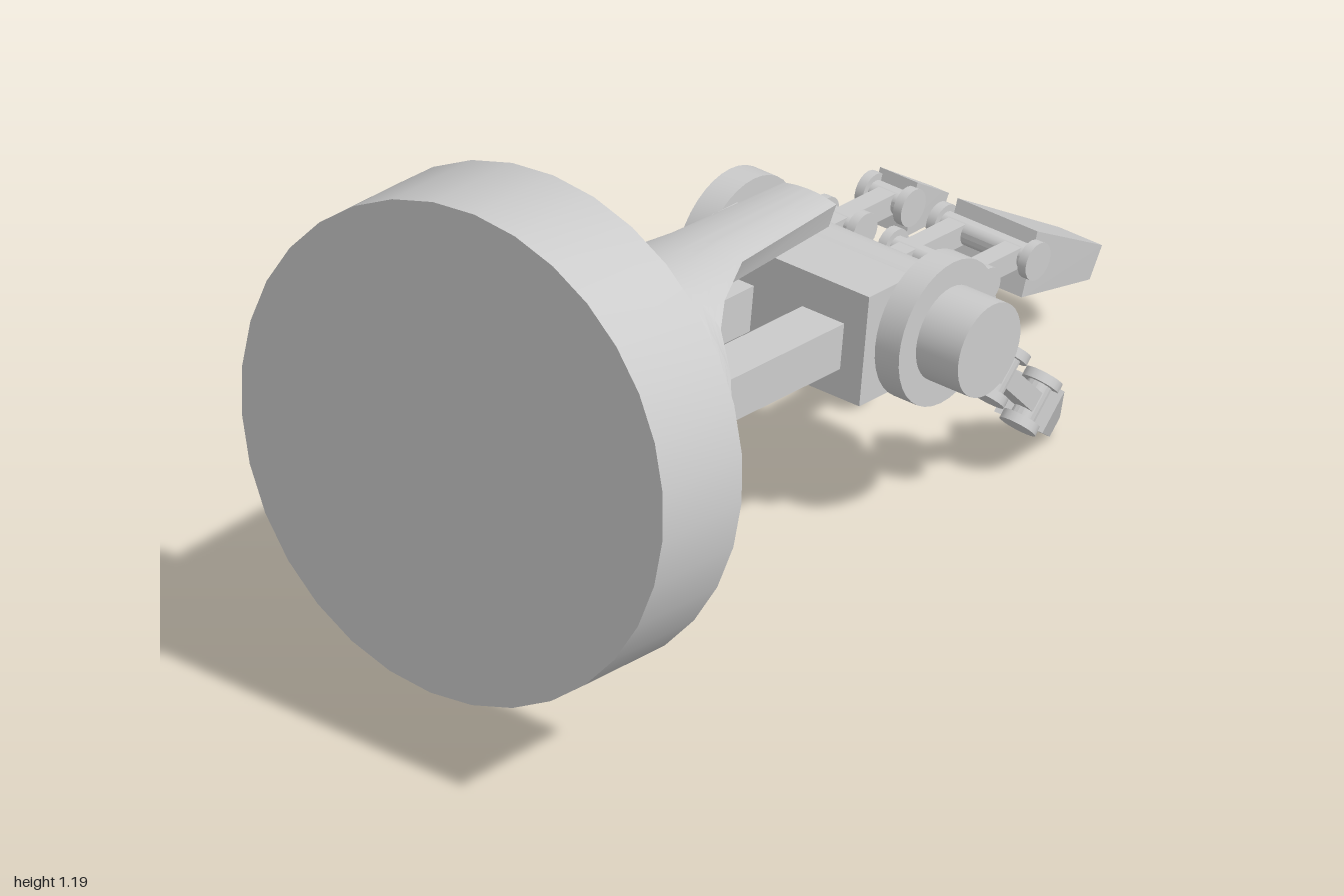
import * as THREE from 'three';
import { toCreasedNormals } from 'three/addons/utils/BufferGeometryUtils.js';

const grey = new THREE.MeshStandardMaterial({ color: 0xcccccc });

function add(parent, name, geometry, x = 0, y = 0, z = 0) {
  const mesh = new THREE.Mesh(toCreasedNormals(geometry, 0.6), grey);
  mesh.name = name;
  mesh.position.set(x, y, z);
  parent.add(mesh);
  return mesh;
}

// Half-pipe guard that narrows to a tongue; stations are [x, half width]
function sleeveGeometry() {
  const outer = 0.27, inner = 0.215, centreY = -0.07, n = 18;
  const stations = [[-0.02, 0.26], [0.31, 0.26], [0.33, 0.235], [0.36, 0.18],
    [0.42, 0.14], [0.54, 0.088], [0.87, 0.066]];
  const pos = [], index = [], ring = 2 * n + 2;
  for (const [x, w] of stations) {
    const a = Math.asin(w / outer);
    for (let k = 0; k < ring; k++) {
      const j = k <= n ? k : ring - 1 - k;
      const r = k <= n ? outer : inner;
      const t = a * (2 * j / n - 1);
      pos.push(x, centreY + r * Math.cos(t), r * Math.sin(t));
    }
  }
  for (let i = 0; i < stations.length - 1; i++) {
    for (let k = 0; k < ring; k++) {
      const a = i * ring + k, c = i * ring + (k + 1) % ring;
      index.push(a, c, a + ring, c, c + ring, a + ring);
    }
  }
  const last = (stations.length - 1) * ring;
  for (let j = 0; j < n; j++) {
    const o = last + j, q = last + ring - 1 - j;
    index.push(o, o + 1, q, o + 1, q - 1, q);
  }
  const g = new THREE.BufferGeometry();
  g.setAttribute('position', new THREE.Float32BufferAttribute(pos, 3));
  g.setIndex(index);
  return g;
}

// Box tapered towards its +x end; base and tip are [bottom, top, half width]
function clawGeometry(length, base, tip) {
  const g = new THREE.BoxGeometry(1, 1, 1);
  const p = g.attributes.position;
  for (let i = 0; i < p.count; i++) {
    const front = p.getX(i) > 0;
    const [bottom, top, half] = front ? tip : base;
    const y = p.getY(i) > 0 ? top : bottom;
    const x = front ? length : (y < 0 ? 0.028 : 0);
    p.setXYZ(i, x, y, Math.sign(p.getZ(i)) * half);
  }
  return g;
}

// Finger pointing along +x, hinged about z, with two pinned joints and a claw
function finger(name, { start, joints, pinHalf, links, length, base, tip, curl }) {
  const g = new THREE.Group();
  g.name = name;
  for (const z of links) {
    const len = joints[1] - start;
    add(g, 'fingerLink', new THREE.BoxGeometry(len, 0.045, 0.042), start + len / 2, 0, z);
  }
  for (const x of joints) {
    const pin = new THREE.CylinderGeometry(0.026, 0.026, pinHalf * 2, 16).rotateX(Math.PI / 2);
    add(g, 'jointPin', pin, x);
    for (const s of [-1, 1]) {
      const cap = new THREE.CylinderGeometry(0.04, 0.04, 0.02, 20).rotateX(Math.PI / 2);
      add(g, 'jointCap', cap, x, 0, s * (pinHalf - 0.01));
    }
  }
  add(g, 'claw', clawGeometry(length, base, tip), joints[1]).rotation.z = -curl;
  return g;
}

export function createModel() {
  const model = new THREE.Group();
  model.name = 'roboticArm';

  // Arm frame: x runs along the arm, origin at the front of the base disk
  const arm = new THREE.Group();
  arm.name = 'arm';
  const ax = new THREE.Vector3(0.979, -0.176, -0.103).normalize();
  const ay = new THREE.Vector3(0.171, 0.983, -0.053);
  const az = new THREE.Vector3().crossVectors(ax, ay).normalize();
  ay.crossVectors(az, ax);
  arm.quaternion.setFromRotationMatrix(new THREE.Matrix4().makeBasis(ax, ay, az));
  arm.position.set(-0.645, 0.637, -0.014);
  model.add(arm);

  add(arm, 'baseDisk', new THREE.CylinderGeometry(0.526, 0.526, 0.255, 32).rotateZ(Math.PI / 2), -0.1275);
  add(arm, 'forearmSleeve', sleeveGeometry());

  // Twin beams carrying the hand
  for (const s of [-1, 1]) {
    add(arm, 'forearmBeam', new THREE.BoxGeometry(0.86, 0.1, 0.105), 0.41, -0.058, s * 0.113);
  }

  // Hand: housing block, flanged drum with hollow far end and thumb motor
  const hand = new THREE.Group();
  hand.name = 'hand';
  hand.position.set(0.984, -0.05, 0);
  arm.add(hand);
  const housing = new THREE.Shape([[-0.19, -0.12], [-0.05, -0.12], [-0.05, 0.12], [-0.19, 0.12]]
    .map(([x, y]) => new THREE.Vector2(x, y)));
  add(hand, 'handHousing', new THREE.ExtrudeGeometry(housing, { depth: 0.44, bevelEnabled: false }), 0, 0, -0.22);
  const profile = [[0, -0.14], [0.1, -0.14], [0.1, -0.28], [0.155, -0.28], [0.155, -0.22],
    [0.112, -0.22], [0.112, 0.22], [0.155, 0.22], [0.155, 0.28], [0.1, 0.28], [0.1, 0.385], [0, 0.385]]
    .map(([r, z]) => new THREE.Vector2(r, z));
  add(hand, 'knuckleDrum', new THREE.LatheGeometry(profile, 36).rotateX(Math.PI / 2));
  add(hand, 'drumStub', new THREE.BoxGeometry(0.04, 0.1, 0.06), 0, 0, -0.17);

  // Wide middle finger
  const wide = finger('wideFinger', {
    start: 0.08, joints: [0.24, 0.4], pinHalf: 0.125, links: [-0.07, 0.07],
    length: 0.32, base: [-0.08, 0.055, 0.1], tip: [-0.022, 0.05, 0.054], curl: 0.45,
  });
  wide.position.set(0, -0.01, 0.072);

  // Small outer finger and thumb share their proportions
  const small = { pinHalf: 0.058, links: [0], base: [-0.06, 0.05, 0.047], tip: [-0.015, 0.04, 0.022] };
  const outer = finger('smallFinger', { ...small, start: 0.08, joints: [0.25, 0.405], length: 0.165, curl: 0.45 });
  outer.position.set(0, -0.01, -0.177);

  const thumb = finger('thumb', { ...small, start: 0.07, joints: [0.195, 0.347], length: 0.165, curl: 0.4 });
  thumb.position.set(0, 0, 0.31);
  thumb.rotation.set(Math.PI / 2, 0, -0.717, 'ZYX');

  hand.add(wide, outer, thumb);
  return model;
}
